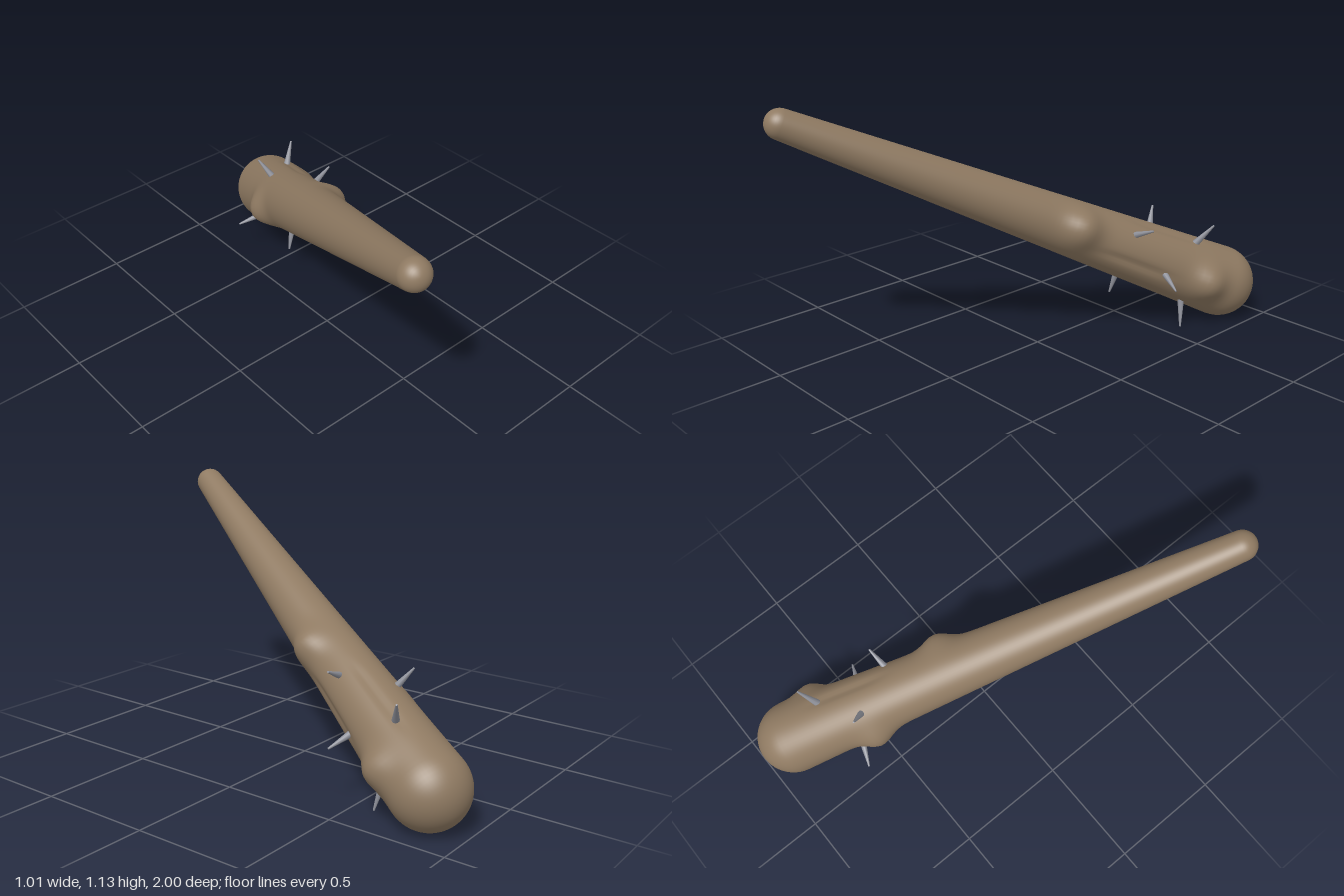
import * as THREE from 'three';
import { mergeVertices } from 'three/addons/utils/BufferGeometryUtils.js';

const V = (x, y, z) => new THREE.Vector3(x, y, z);
const UP = V(0, 1, 0);

// Centres and radii of the rounded handle end and the heavy head
const HANDLE = V(-0.445, 1.073, 0.938), R0 = 0.063;
const HEAD = V(0.342, 0.168, -0.836), R1 = 0.164;
const AXIS = HEAD.clone().sub(HANDLE);
const LENGTH = AXIS.length();
AXIS.normalize();

// Knots: position along the shaft (0..1), outward direction, height
const KNOTS = [
  [0.62, V(0.9, 0.25, 0.27), 0.042],
  [0.817, V(-0.92, -0.2, -0.3), 0.045],
  [0.935, V(0.92, 0, 0.4), 0.045],
];

// Spikes: base on the wood, tip
const SPIKES = [
  [V(0.25, 0.485, -0.36), V(0.335, 0.52, -0.37)],
  [V(0.34, 0.405, -0.685), V(0.392, 0.477, -0.72)],
  [V(0.33, 0.287, -0.47), V(0.42, 0.248, -0.435)],
  [V(0.31, 0.11, -0.61), V(0.33, 0.004, -0.588)],
  [V(0.11, 0.25, -0.38), V(0.085, 0.163, -0.37)],
  [V(0.1, 0.218, -0.62), V(0.01, 0.186, -0.66)],
  [V(0.142, 0.465, -0.572), V(0.113, 0.53, -0.62)],
];

const radiusAt = t => THREE.MathUtils.lerp(R0, R1, t);

// Nearest point on the shaft axis, with its fraction along the length
function onAxis(p) {
  const s = p.clone().sub(HANDLE).dot(AXIS);
  return { t: s / LENGTH, centre: HANDLE.clone().addScaledVector(AXIS, s) };
}

function clubGeometry() {
  // Tapered capsule profile from handle end to head
  const tilt = Math.asin((R1 - R0) / LENGTH);
  const profile = [];
  for (let i = 0; i <= 10; i++) {
    const a = -Math.PI / 2 + (Math.PI / 2 - tilt) * i / 10;
    profile.push(new THREE.Vector2(Math.max(0, R0 * Math.cos(a)), R0 * Math.sin(a)));
  }
  const from = profile[10];
  const to = new THREE.Vector2(R1 * Math.cos(tilt), LENGTH - R1 * Math.sin(tilt));
  for (let i = 1; i < 90; i++) profile.push(from.clone().lerp(to, i / 90));
  for (let i = 0; i <= 14; i++) {
    const a = -tilt + (Math.PI / 2 + tilt) * i / 14;
    profile.push(new THREE.Vector2(Math.max(0, R1 * Math.cos(a)), LENGTH + R1 * Math.sin(a)));
  }

  let geo = new THREE.LatheGeometry(profile, 64);
  geo.applyQuaternion(new THREE.Quaternion().setFromUnitVectors(UP, AXIS));
  geo.translate(HANDLE.x, HANDLE.y, HANDLE.z);
  geo.deleteAttribute('uv');
  geo.deleteAttribute('normal');
  geo = mergeVertices(geo, 1e-5);

  const knots = KNOTS.map(([t, dir, height]) => ({
    height,
    at: HANDLE.clone().addScaledVector(AXIS, t * LENGTH).addScaledVector(dir.clone().normalize(), radiusAt(t)),
  }));
  // Shallow splits in the wood run from three of the spikes
  const splits = [1, 2, 3].map(i => {
    const { t, centre } = onAxis(SPIKES[i][0]);
    return { t: t - 0.07, dir: SPIKES[i][0].clone().sub(centre).normalize() };
  });

  const pos = geo.attributes.position;
  const p = new THREE.Vector3();
  for (let i = 0; i < pos.count; i++) {
    p.fromBufferAttribute(pos, i);
    const { t, centre } = onAxis(p);
    const out = p.clone().sub(centre);
    if (out.length() < 0.01) continue;
    out.normalize();
    let push = 0;
    for (const k of knots) push += k.height * Math.exp(-((p.distanceTo(k.at) / 0.075) ** 2));
    for (const s of splits) {
      push -= 0.009 * Math.exp(-((out.angleTo(s.dir) / 0.13) ** 2) - ((t - s.t) / 0.085) ** 4);
    }
    p.addScaledVector(out, push);
    pos.setXYZ(i, p.x, p.y, p.z);
  }
  geo.computeVertexNormals();
  return geo;
}

// Blunt tapered spike, sunk a little into the wood
function makeSpike([base, tip], material) {
  const dir = tip.clone().sub(base).normalize();
  const root = base.clone().addScaledVector(dir, -0.03);
  const spike = new THREE.Mesh(
    new THREE.CylinderGeometry(0.004, 0.017, root.distanceTo(tip), 10), material);
  spike.position.copy(root).lerp(tip, 0.5);
  spike.quaternion.setFromUnitVectors(UP, dir);
  return spike;
}

export function createModel() {
  const model = new THREE.Group();
  model.name = 'spikedClub';
  const wood = new THREE.MeshStandardMaterial({ color: 0x8f7a62 });
  const metal = new THREE.MeshStandardMaterial({ color: 0x8e9099 });

  const club = new THREE.Mesh(clubGeometry(), wood);
  club.name = 'woodenClub';
  model.add(club);

  const spikes = new THREE.Group();
  spikes.name = 'spikes';
  SPIKES.forEach((s, i) => {
    const spike = makeSpike(s, metal);
    spike.name = `spike${i + 1}`;
    spikes.add(spike);
  });
  model.add(spikes);
  return model;
}
